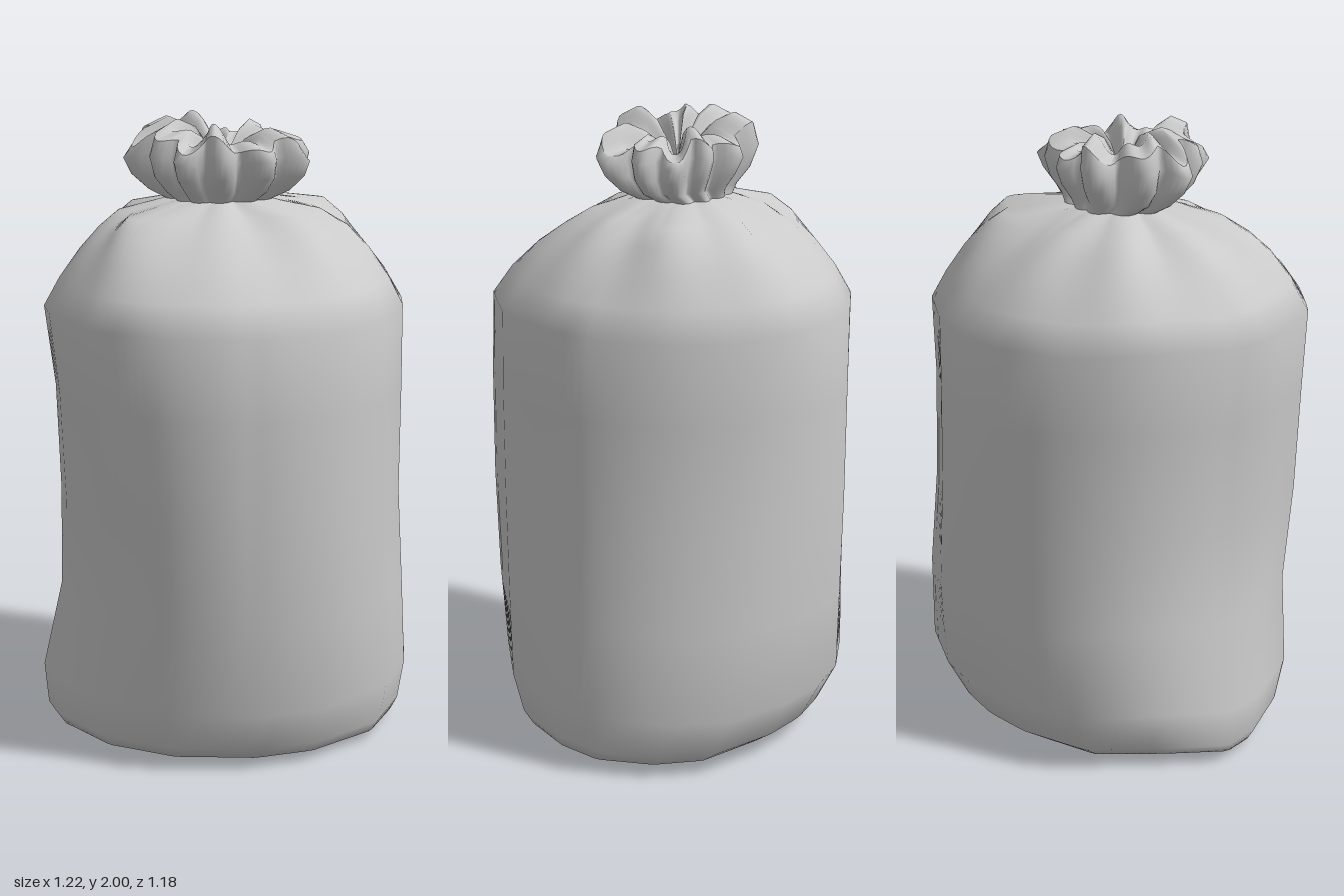
import * as THREE from 'three';

const SEGMENTS = 120;
const { clamp, lerp, smoothstep } = THREE.MathUtils;

// Corners of the sack seen from above (x, z), going from front to left side to back
const OUTLINE = [
  [0.04, 0.59], [0.24, 0.54], [0.47, 0.355], [0.575, 0.12], [0.61, -0.08], [0.55, -0.31],
  [0.44, -0.47], [0.215, -0.57], [0.05, -0.595], [-0.12, -0.575], [-0.35, -0.475],
  [-0.5, -0.23], [-0.615, -0.015], [-0.59, 0.12], [-0.45, 0.38], [-0.235, 0.54],
].map(([x, z]) => [x / 0.61, z / 0.592]);

// Distance from the axis to the outline, relative to a round sack
function panel(a) {
  const s = Math.sin(a);
  const c = Math.cos(a);
  for (let i = 0; i < OUTLINE.length; i++) {
    const [px, pz] = OUTLINE[i];
    const [qx, qz] = OUTLINE[(i + 1) % OUTLINE.length];
    const from = s * pz - c * px;
    const to = s * qz - c * qx;
    if (from >= 0 && to < 0 && s * px + c * pz > 0) {
      const t = from / (from - to);
      return Math.hypot(px + (qx - px) * t, pz + (qz - pz) * t);
    }
  }
  return 1;
}

// Gather of the shoulders: lobes on the diagonals, valleys between, and smaller folds
const fold = (a) => 0.4 * Math.cos(2 * a - 4.5) - 0.35 * Math.cos(4 * a) + 0.25 * Math.cos(9 * a + 1);
// Sag of the filling: bulges the front right corner and hollows the opposite one
const sag = (a) => Math.max(0, -Math.sin(2 * a)) * Math.sign(Math.cos(a + Math.PI / 4));
// Round puffs with sharp valleys for the ruffle
const pleat = (a) => 1.5 * Math.abs(Math.cos(6 * a + 0.6 * Math.sin(2 * a + 1))) - 1 + 0.35 * Math.cos(5 * a + 2);
// Uneven height of the rim, lower on the left
const ragged = (a) => clamp(0.4 * Math.cos(a + 1.6) + 0.5 * Math.cos(7 * a + 1) + 0.4 * Math.cos(12 * a + 2.2), -1, 1);

// Skin closed rings. Each ring: y, xMin, xMax, zMin, zMax, fold, pleat, ragged, sag amounts
function skin(rings, name, material) {
  const positions = [];
  const index = [];
  rings.forEach(([y, x0, x1, z0, z1, f = 0, p = 0, r = 0, g = 0], j) => {
    for (let i = 0; i < SEGMENTS; i++) {
      const a = (i / SEGMENTS) * Math.PI * 2;
      const k = 1 + f * fold(a) + p * pleat(a) + g * sag(a);
      positions.push(
        (x0 + x1) / 2 + ((x1 - x0) / 2) * k * Math.sin(a),
        y + r * ragged(a),
        (z0 + z1) / 2 + ((z1 - z0) / 2) * k * Math.cos(a));
      if (j === rings.length - 1) continue;
      const n = (i + 1) % SEGMENTS;
      const b = j * SEGMENTS;
      const t = b + SEGMENTS;
      index.push(b + i, b + n, t + n, b + i, t + n, t + i);
    }
  });
  const geometry = new THREE.BufferGeometry();
  geometry.setAttribute('position', new THREE.Float32BufferAttribute(positions, 3));
  geometry.setIndex(index);
  geometry.computeVertexNormals();
  const mesh = new THREE.Mesh(geometry, material);
  mesh.name = name;
  return mesh;
}

// Flatten the round body into panels below the shoulders, keeping its soft normals
function flattenPanels(geometry) {
  const position = geometry.attributes.position;
  for (let i = 0; i < position.count; i++) {
    const y = position.getY(i);
    const k = lerp(panel(((i % SEGMENTS) / SEGMENTS) * Math.PI * 2), 1, smoothstep(y, 1.4, 1.75));
    position.setXYZ(i, position.getX(i) * k, y, position.getZ(i) * k);
  }
}

export function createModel() {
  const model = new THREE.Group();
  model.name = 'tiedSack';
  const plastic = new THREE.MeshStandardMaterial({ color: 0xcacaca, side: THREE.DoubleSide });
  plastic.name = 'grey plastic';

  // Filled body, from the underside up to the shoulder and gathered neck
  const neck = [1.745, -0.19, 0.14, -0.165, 0.125, 0.06, 0.1];
  const body = skin([
    [0.012, 0, 0, 0, 0],
    [0.0, -0.3, 0.4, -0.26, 0.26],
    [0.03, -0.57, 0.56, -0.43, 0.47],
    [0.07, -0.6, 0.585, -0.49, 0.505],
    [0.2, -0.612, 0.607, -0.56, 0.555],
    [0.48, -0.55, 0.592, -0.582, 0.575, 0, 0, 0, 0.02],
    [0.8, -0.545, 0.572, -0.588, 0.597, 0, 0, 0, 0.05],
    [1.15, -0.557, 0.575, -0.588, 0.597, 0, 0, 0, 0.065],
    [1.41, -0.59, 0.575, -0.582, 0.595, 0.01, 0, 0, 0.045],
    [1.5, -0.54, 0.525, -0.53, 0.53, 0.03, 0, 0, 0.04],
    [1.59, -0.475, 0.46, -0.46, 0.435, 0.08, 0, 0, 0.03],
    [1.66, -0.41, 0.39, -0.38, 0.33, 0.16, 0, 0, 0.02],
    [1.71, -0.34, 0.31, -0.3, 0.24, 0.27, 0.03],
    neck,
  ], 'sackBody', plastic);
  flattenPanels(body.geometry);
  model.add(body);

  // Puffed ruffle flaring out above the neck
  const rim = [1.93, -0.28, 0.225, -0.205, 0.215, 0, 0.16, 0.04];
  model.add(skin([
    neck,
    [1.775, -0.235, 0.195, -0.165, 0.15, 0, 0.13],
    [1.825, -0.28, 0.235, -0.195, 0.195, 0, 0.16],
    [1.885, -0.3, 0.245, -0.215, 0.225, 0, 0.18, 0.015],
    rim,
  ], 'ruffle', plastic));

  // Crumpled mouth rolling over the rim and down to the middle
  model.add(skin([
    rim,
    [1.952, -0.22, 0.16, -0.15, 0.155, 0, 0.22, 0.048],
    [1.925, -0.16, 0.1, -0.1, 0.105, 0, 0.3, 0.05],
    [1.88, -0.1, 0.04, -0.05, 0.055, 0, 0.35, 0.035],
    [1.83, -0.03, -0.03, 0, 0],
  ], 'mouth', plastic));

  return model;
}
